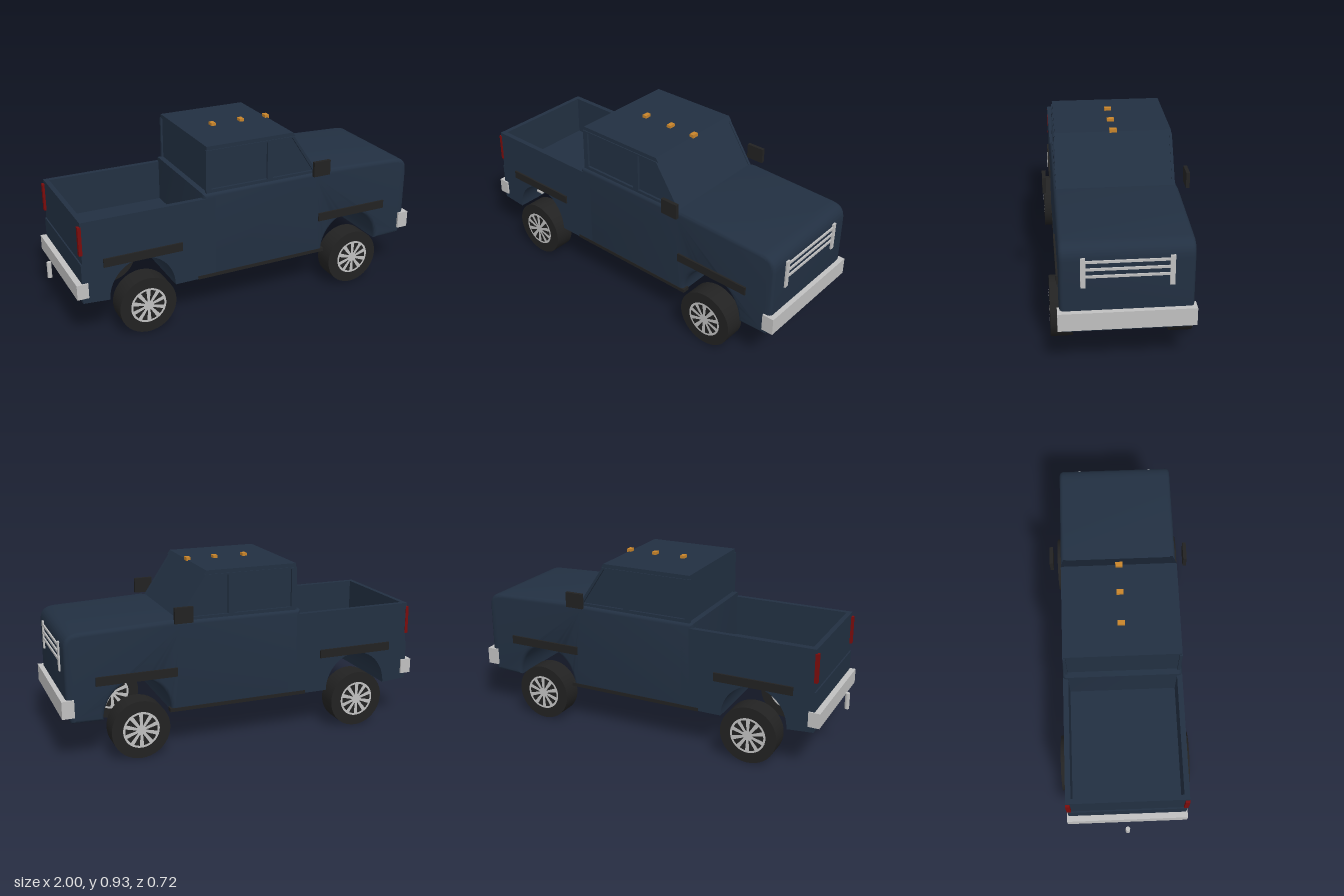
import * as THREE from 'three';
import { toCreasedNormals } from 'three/addons/utils/BufferGeometryUtils.js';

const material = (name, color) => {
  const m = new THREE.MeshStandardMaterial({ color });
  m.name = name;
  return m;
};

export function createModel() {
  const truck = new THREE.Group();
  truck.name = 'pickupTruck';
  const navy = material('navyPaint', 0x223042);
  const black = material('blackRubber', 0x222222);
  const silver = material('silver', 0xc0c0c0);
  const amber = material('amber', 0xc8842a);
  const red = material('darkRed', 0x7a0c0c);

  const add = (name, geometry, mat, parent = truck) => {
    const mesh = new THREE.Mesh(geometry, mat);
    mesh.name = name;
    parent.add(mesh);
    return mesh;
  };
  // Box given by its limits on each axis
  const box = (name, mat, x0, x1, y0, y1, z0, z1, parent) => {
    const mesh = add(name, new THREE.BoxGeometry(x1 - x0, y1 - y0, z1 - z0), mat, parent);
    mesh.position.set((x0 + x1) / 2, (y0 + y1) / 2, (z0 + z1) / 2);
    return mesh;
  };
  // Side profile extruded across the width, with optional rounded edges
  const extrude = (shape, z0, z1, bevel = 0) => {
    const g = new THREE.ExtrudeGeometry(shape, {
      depth: z1 - z0 - 2 * bevel, curveSegments: 20, bevelEnabled: bevel > 0,
      bevelSize: bevel, bevelThickness: bevel, bevelOffset: -bevel, bevelSegments: 4,
    });
    g.translate(0, 0, z0 + bevel);
    return toCreasedNormals(g, 0.6);
  };
  const polygon = (points) => new THREE.Shape(points.map(([x, y]) => new THREE.Vector2(x, y)));

  // Front body: doors, wheel arch, rounded nose and hood
  const W = 0.307;
  const front = new THREE.Shape();
  front.moveTo(-0.265, 0.21);
  front.lineTo(0.44, 0.21);
  front.absellipse(0.615, 0.21, 0.175, 0.19, Math.PI, 0, true);
  front.lineTo(0.95, 0.215);
  front.quadraticCurveTo(0.968, 0.25, 0.972, 0.32);
  front.lineTo(0.972, 0.585);
  front.bezierCurveTo(0.972, 0.64, 0.95, 0.664, 0.89, 0.666);
  front.lineTo(0.42, 0.684);
  front.lineTo(0.38, 0.676);
  front.lineTo(-0.265, 0.672);
  front.closePath();
  add('frontBody', extrude(front, -W, W, 0.02), navy);

  // Rear body below the bed floor, stepping up behind the cab
  const rear = new THREE.Shape();
  rear.moveTo(-0.912, 0.22);
  rear.lineTo(-0.775, 0.21);
  rear.absellipse(-0.6, 0.21, 0.175, 0.19, Math.PI, 0, true);
  rear.lineTo(-0.2, 0.21);
  rear.lineTo(-0.2, 0.648);
  rear.lineTo(-0.26, 0.648);
  rear.lineTo(-0.26, 0.43);
  rear.lineTo(-0.912, 0.43);
  rear.closePath();
  add('rearBody', extrude(rear, -W, W), navy);

  // Open bed walls
  box('tailgate', navy, -0.905, -0.88, 0.43, 0.648, -W, W);
  for (const s of [-1, 1]) {
    const side = s < 0 ? 'right' : 'left';
    const a = s < 0 ? -W : 0.28;
    box(side + 'BedWall', navy, -0.88, -0.25, 0.43, 0.648, a, a + W - 0.28);
  }

  // Cab with recessed windows, framed sides and roof
  add('cab', extrude(polygon([[-0.235, 0.66], [0.405, 0.66], [0.245, 0.9], [-0.235, 0.9]]), -0.283, 0.283), navy);
  const frame = polygon([[-0.245, 0.66], [0.41, 0.66], [0.252, 0.895], [-0.245, 0.895]]);
  frame.holes.push(
    polygon([[-0.217, 0.688], [-0.217, 0.887], [0.1, 0.887], [0.1, 0.688]]),
    polygon([[0.132, 0.688], [0.132, 0.887], [0.243, 0.887], [0.373, 0.688]]),
  );
  add('leftWindowFrame', extrude(frame, 0.281, 0.295), navy);
  add('rightWindowFrame', extrude(frame, -0.295, -0.281), navy);
  add('roof', extrude(polygon([[-0.24, 0.893], [0.262, 0.893], [0.247, 0.915], [-0.24, 0.915]]), -0.29, 0.29), navy);
  for (const x of [-0.07, 0.095, 0.245]) {
    box('roofLight', amber, x - 0.012, x + 0.012, 0.912, 0.93, -0.018, 0.018);
  }

  // Parts repeated on both sides
  for (const s of [-1, 1]) {
    const pair = (name, mat, x0, x1, y0, y1, z0, z1) =>
      box(name, mat, x0, x1, y0, y1, Math.min(s * z0, s * z1), Math.max(s * z0, s * z1));
    pair('rearFenderTrim', black, -0.8, -0.385, 0.395, 0.44, 0.295, 0.316);
    pair('frontFenderTrim', black, 0.41, 0.825, 0.395, 0.44, 0.295, 0.316);
    pair('rockerTrim', black, -0.3, 0.45, 0.207, 0.226, 0.27, 0.308);
    pair('mirror', black, 0.34, 0.436, 0.678, 0.758, 0.343, 0.361);
    pair('tailLight', red, -0.917, -0.9, 0.478, 0.626, 0.287, 0.309);
    pair('grillePost', silver, 0.96, 0.98, 0.46, 0.608, 0.189, 0.212);
  }
  for (const y of [0.515, 0.551, 0.588]) {
    box('grilleBar', silver, 0.96, 0.979, y - 0.006, y + 0.006, -0.19, 0.19);
  }

  // Bumpers, underside plate, hitch and exhaust
  box('frontBumper', silver, 0.935, 0.997, 0.25, 0.34, -0.318, 0.318);
  box('rearBumper', silver, -0.942, -0.883, 0.25, 0.328, -0.316, 0.316);
  box('underPlate', navy, -0.4, 0.42, 0.204, 0.215, -0.235, 0.235);
  add('hitchPin', new THREE.CylinderGeometry(0.012, 0.012, 0.085, 16), silver).position.set(-0.988, 0.28, 0);
  const pipe = add('exhaustPipe', new THREE.CylinderGeometry(0.013, 0.013, 0.07, 16), silver);
  pipe.rotation.z = Math.PI / 2;
  pipe.position.set(-0.77, 0.26, 0.18);

  // Wheels: tyre with ten-spoke rims on both faces
  const tyre = toCreasedNormals(new THREE.CylinderGeometry(0.15, 0.15, 0.108, 40).rotateX(Math.PI / 2), 0.6);
  const ring = new THREE.RingGeometry(0.083, 0.094, 40);
  const hub = new THREE.CircleGeometry(0.026, 20);
  const spoke = new THREE.ShapeGeometry(polygon([[-0.006, 0.015], [0.006, 0.015], [0.011, 0.086], [-0.011, 0.086]]));
  for (const x of [-0.59, 0.615]) {
    for (const s of [-1, 1]) {
      const wheel = new THREE.Group();
      wheel.name = (x > 0 ? 'front' : 'rear') + (s > 0 ? 'Left' : 'Right') + 'Wheel';
      wheel.position.set(x, 0.152, s * 0.292);
      add('tyre', tyre, black, wheel);
      for (const face of [0, Math.PI]) {
        const rim = new THREE.Group();
        rim.name = 'rim';
        rim.rotation.y = face;
        add('rimRing', ring, silver, rim).position.z = 0.056;
        add('hub', hub, silver, rim).position.z = 0.057;
        for (let i = 0; i < 10; i++) {
          const sp = add('spoke', spoke, silver, rim);
          sp.position.z = 0.0565;
          sp.rotation.z = (i * Math.PI) / 5;
        }
        wheel.add(rim);
      }
      truck.add(wheel);
    }
  }
  return truck;
}
